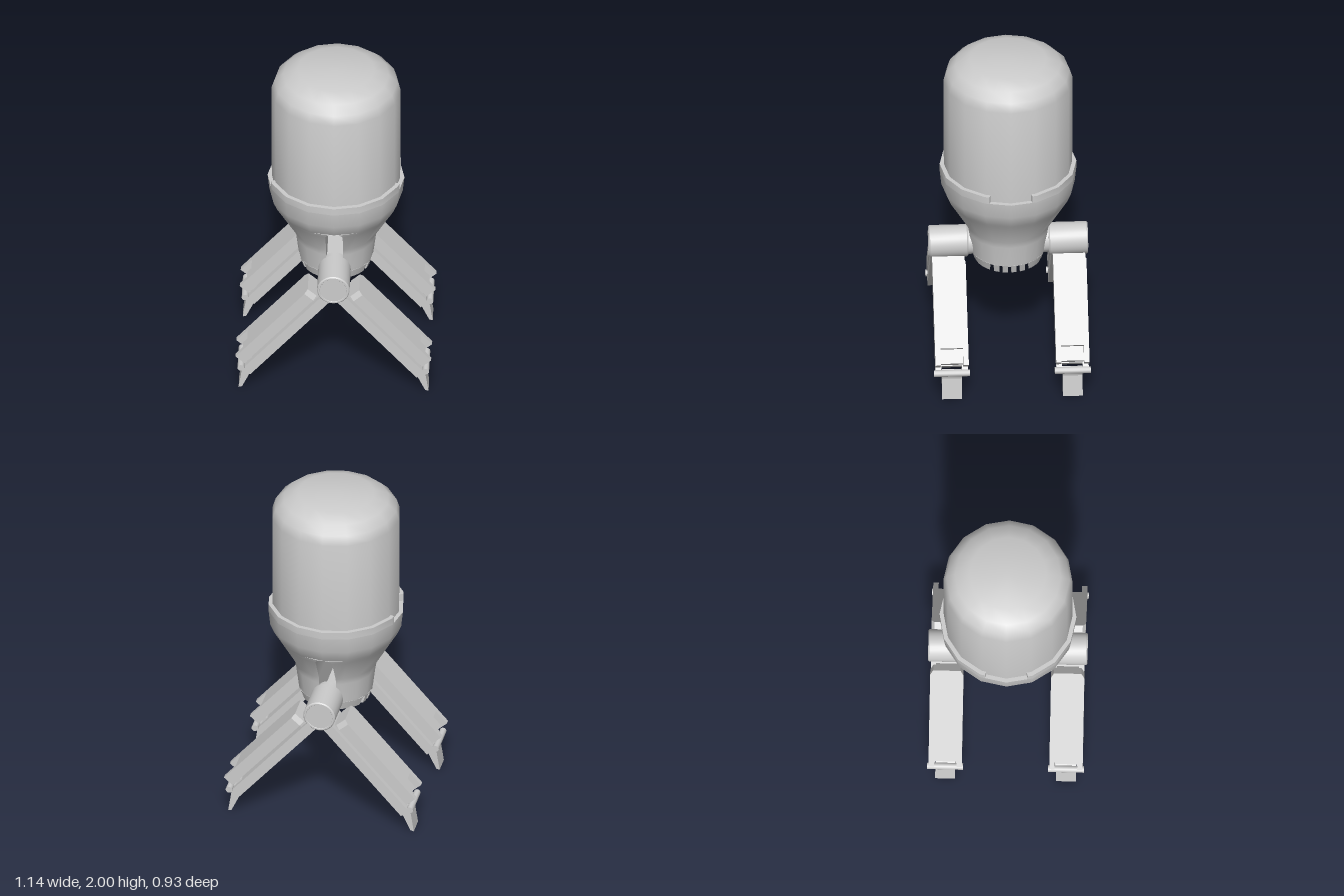
import * as THREE from 'three';
import { mergeGeometries, toCreasedNormals } from 'three/addons/utils/BufferGeometryUtils.js';

const material = new THREE.MeshStandardMaterial({ color: 0xcccccc });
const SIDES = 16;

function add(parent, name, geometry, x = 0, y = 0, z = 0) {
  const mesh = new THREE.Mesh(geometry, material);
  mesh.name = name;
  mesh.position.set(x, y, z);
  parent.add(mesh);
  return mesh;
}

// Closed solid from equal-sized loops, bottom to top, counter-clockwise from above
function loft(rings) {
  const n = rings[0].length, last = (rings.length - 1) * n, index = [];
  for (let r = 0; r < rings.length - 1; r++) {
    for (let i = 0; i < n; i++) {
      const a = r * n + i, b = r * n + (i + 1) % n;
      index.push(a, b, b + n, a, b + n, a + n);
    }
  }
  for (let i = 1; i < n - 1; i++) index.push(0, i + 1, i, last, last + i, last + i + 1);
  const geo = new THREE.BufferGeometry();
  geo.setAttribute('position', new THREE.Float32BufferAttribute(rings.flat(2), 3));
  geo.setIndex(index);
  return geo;
}

// Plan outline (x, z) raised upward by a height
function slab(points, height) {
  const shape = new THREE.Shape(points.map(([x, y]) => new THREE.Vector2(x, y)));
  return new THREE.ExtrudeGeometry(shape, { depth: height, bevelEnabled: false }).rotateX(-Math.PI / 2);
}

// Funnel-shaped cup in two halves, leaving a round-topped slot from front to back
function cupGeometry() {
  // radius, height, half width of the slot
  const profile = [
    [0.217, 0.69, 0], [0.22, 0.71, 0], [0.22, 0.71, 0.05], [0.235, 0.83, 0.05], [0.242, 0.87, 0.05],
    [0.335, 1.03, 0.05], [0.344, 1.045, 0.043], [0.35, 1.055, 0.028], [0.353, 1.06, 0],
    [0.37, 1.09, 0], [0.39, 1.14, 0], [0.4, 1.235, 0],
  ];
  const rings = profile.map(([r, y, w]) => {
    const a = Math.asin(w / r), half = SIDES / 2;
    return Array.from({ length: half + 1 }, (_, i) => {
      const phi = i === 0 ? a : i === half ? Math.PI - a : (i / half) * Math.PI;
      return [r * Math.sin(phi), y, r * Math.cos(phi)];
    });
  });
  const half = loft(rings);
  return toCreasedNormals(mergeGeometries([half, half.clone().rotateY(Math.PI)]), 0.6);
}

// One bar of the vent grille, cut to the round outline of the cup
function ventBar(z0, z1) {
  const ring = (r, y) => {
    const right = [], left = [];
    for (let i = 0; i <= 4; i++) {
      const z = THREE.MathUtils.lerp(z0, Math.min(z1, r - 0.002), i / 4);
      const x = Math.sqrt(r * r - z * z);
      right.unshift([x, y, z]);
      left.push([-x, y, z]);
    }
    return [...right, ...left];
  };
  return toCreasedNormals(loft([ring(0.2, 0.64), ring(0.217, 0.695)]), 0.6);
}

// Leg reaching toward +x from the hinge centre
function createLeg() {
  const leg = new THREE.Group();
  leg.name = 'leg';
  const bars = new THREE.Group();
  bars.name = 'legBars';
  bars.rotation.z = -0.852;
  leg.add(bars);

  // Upper bar with a tapered start and a pocket at the end
  add(bars, 'upperBar', slab([
    [0.11, -0.08], [0.14, -0.0975], [0.75, -0.0975], [0.75, -0.066], [0.65, -0.066],
    [0.65, 0.066], [0.75, 0.066], [0.75, 0.0975], [0.14, 0.0975], [0.11, 0.08],
  ], 0.069), 0, 0.034);
  add(bars, 'pocketFloor', new THREE.BoxGeometry(0.09, 0.03, 0.134), 0.69, 0.05);
  add(bars, 'spacer', new THREE.BoxGeometry(0.05, 0.04, 0.13), 0.135, 0.025);
  add(bars, 'endSpacer', new THREE.BoxGeometry(0.03, 0.04, 0.13), 0.72, 0.025);

  // Lower bar, forked around the foot
  add(bars, 'lowerBar', slab([
    [0.03, -0.095], [0.79, -0.095], [0.79, -0.06], [0.74, -0.06],
    [0.74, 0.06], [0.79, 0.06], [0.79, 0.095], [0.03, 0.095],
  ], 0.06), 0, -0.045);

  add(leg, 'footPin', new THREE.CylinderGeometry(0.02, 0.02, 0.21, 12).rotateX(Math.PI / 2), 0.54, -0.572);

  // Pointed foot
  const foot = new THREE.Shape([
    [0.47, 0.13], [0.49, 0.1], [0.535, 0.005], [0.555, 0], [0.535, 0.13], [0.545, 0.165], [0.51, 0.18],
  ].map(([x, y]) => new THREE.Vector2(x, y - 0.742)));
  add(leg, 'foot', new THREE.ExtrudeGeometry(foot, { depth: 0.116, bevelEnabled: false }), 0, 0, -0.058);
  return leg;
}

export function createModel() {
  const model = new THREE.Group();
  model.name = 'legPod';

  // Rounded canister
  const canister = [
    [0.375, 1.2], [0.378, 1.86], [0.36, 1.917], [0.31, 1.965], [0.225, 2], [0, 2],
  ].map(([x, y]) => new THREE.Vector2(x, y));
  add(model, 'canister', toCreasedNormals(new THREE.LatheGeometry(canister, SIDES), 0.6));

  add(model, 'cup', cupGeometry());

  // Raised rim at front and back, leaving a notch at each side
  const step = (2 * Math.PI) / SIDES;
  const arc = (r) => {
    const points = [[r * 0.938, r * 0.315]];
    for (let i = 1; i <= 7; i++) points.push([r * Math.cos(i * step), r * Math.sin(i * step)]);
    return [...points, [-r * 0.938, r * 0.315]];
  };
  const rim = toCreasedNormals(slab([...arc(0.4), ...arc(0.36).reverse()], 0.045), 0.6);
  for (const turn of [0, Math.PI]) add(model, 'rim', rim, 0, 1.235).rotation.y = turn;

  // Grille under the cup
  for (const [z0, z1] of [[-0.04, -0.01], [0.01, 0.04], [0.06, 0.09]]) add(model, 'ventBar', ventBar(z0, z1));
  add(model, 'ventBar', ventBar(0.06, 0.09)).rotation.y = Math.PI;
  for (const turn of [0, Math.PI]) add(model, 'ventEdge', ventBar(0.112, 0.3)).rotation.y = turn;

  // Hinge with a pair of legs at front and back
  for (const turn of [0, Math.PI]) {
    const assembly = new THREE.Group();
    assembly.name = 'hingeAssembly';
    assembly.rotation.y = turn;
    const barrel = [
      [0, 0.19], [0.08, 0.19], [0.08, 0.235], [0.088, 0.235], [0.095, 0.243],
      [0.095, 0.458], [0.089, 0.465], [0.08, 0.465], [0.078, 0.462], [0, 0.462],
    ].map(([x, y]) => new THREE.Vector2(x, y));
    const hinge = toCreasedNormals(new THREE.LatheGeometry(barrel, 28).rotateX(Math.PI / 2), 0.5);
    add(assembly, 'hinge', hinge, 0, 0.742);
    for (const side of [0, Math.PI]) {
      const leg = createLeg();
      leg.position.set(0, 0.742, 0.353);
      leg.rotation.y = side;
      assembly.add(leg);
    }
    model.add(assembly);
  }
  return model;
}
